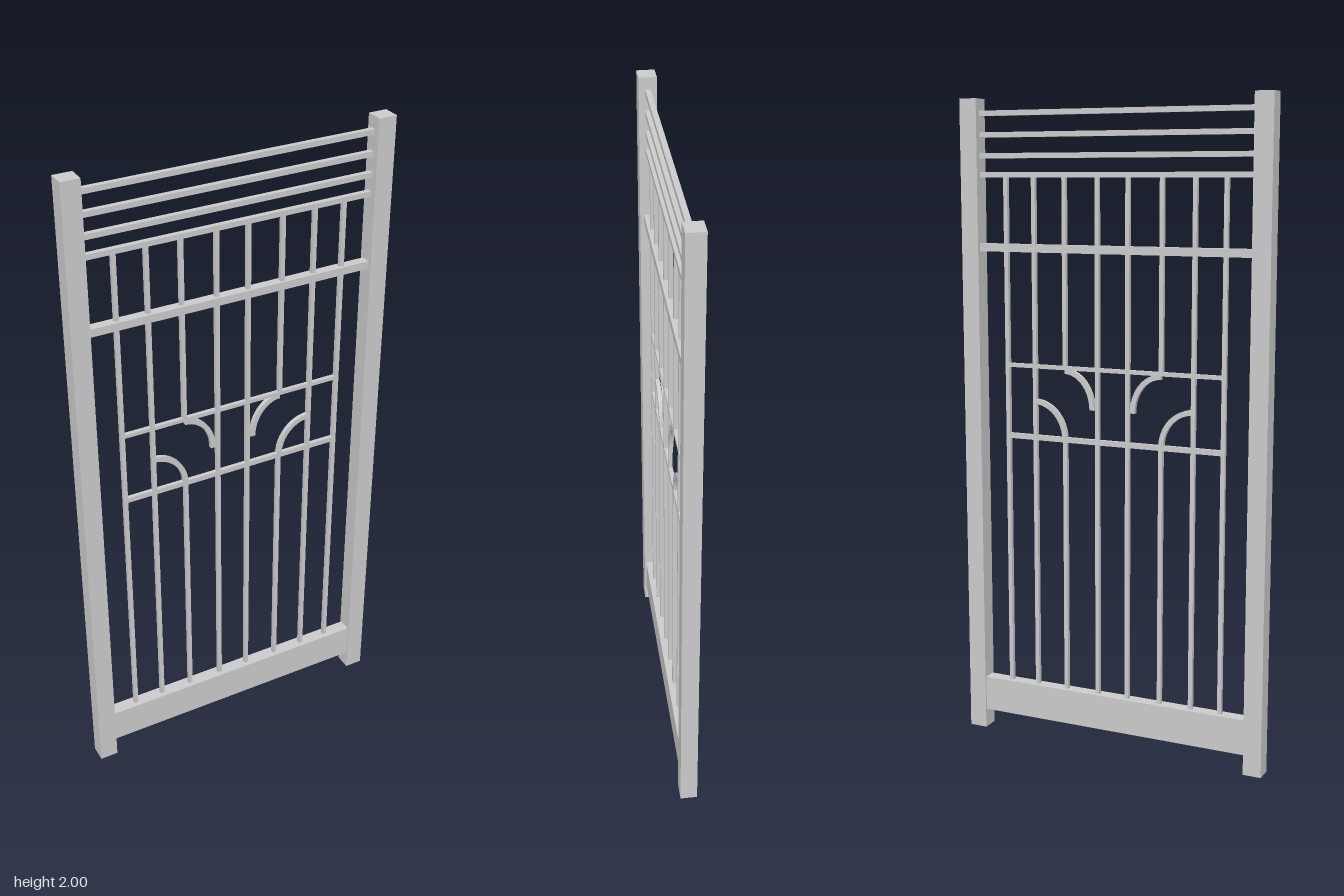
import * as THREE from 'three';

export function createModel() {
  const gate = new THREE.Group();
  gate.name = 'gate';
  const material = new THREE.MeshStandardMaterial({ color: 0xcccccc, flatShading: true });

  const add = (name, geometry) => {
    const mesh = new THREE.Mesh(geometry, material);
    mesh.name = name;
    gate.add(mesh);
    return mesh;
  };
  // Box given by its front rectangle and its depth, centred on z = 0
  const bar = (name, x0, x1, y0, y1, depth) =>
    add(name, new THREE.BoxGeometry(x1 - x0, y1 - y0, depth))
      .position.set((x0 + x1) / 2, (y0 + y1) / 2, 0);

  const inner = 0.443;
  const thin = 0.013;

  // Full-width rails between the posts
  bar('bottomRail', -inner, inner, 0.06, 0.17, 0.042);
  bar('middleRail', -inner, inner, 1.542, 1.566, 0.03);
  for (const y of [1.773, 1.83, 1.892, 1.956]) {
    bar('topRail', -inner, inner, y - 0.008, y + 0.008, 0.016);
  }

  // Short rails that frame the curved ornament
  bar('upperCrossBar', -0.362, 0.362, 1.188, 1.2, thin);
  bar('lowerCrossBar', -0.362, 0.362, 0.964, 0.98, thin);

  // Quarter-ellipse bar with a square section, bulging up and towards the middle
  const curvedBar = (side, cx, cy, rx, ry) => {
    const h = 0.008;
    const shape = new THREE.Shape();
    const steps = 12;
    for (let i = 0; i <= 2 * steps + 1; i++) {
      const outer = i <= steps;
      const a = ((outer ? i : 2 * steps + 1 - i) / steps) * Math.PI / 2;
      const grow = outer ? h : -h;
      const x = side * (cx - (rx + grow) * Math.cos(a));
      const y = cy + (ry + grow) * Math.sin(a);
      if (i === 0) shape.moveTo(x, y);
      else shape.lineTo(x, y);
    }
    const geometry = new THREE.ExtrudeGeometry(shape, { depth: thin, bevelEnabled: false });
    add('curvedBar', geometry.translate(0, 0, -thin / 2));
  };

  // Posts, uprights and curves, mirrored left and right
  for (const side of [-1, 1]) {
    const upright = (x, y0, y1) =>
      bar('uprightBar', side * x - thin / 2, side * x + thin / 2, y0, y1, thin);

    bar('post', side * 0.4715 - 0.0285, side * 0.4715 + 0.0285, 0, 2, 0.053);
    for (const x of [0.05, 0.262, 0.357]) upright(x, 0.17, 1.77);
    // Split upright: its two halves run into the curves
    upright(0.159, 0.17, 0.97);
    upright(0.159, 1.19, 1.77);
    curvedBar(side, 0.159, 1.07, 0.092, 0.115);
    curvedBar(side, 0.262, 0.972, 0.102, 0.113);
  }
  return gate;
}
